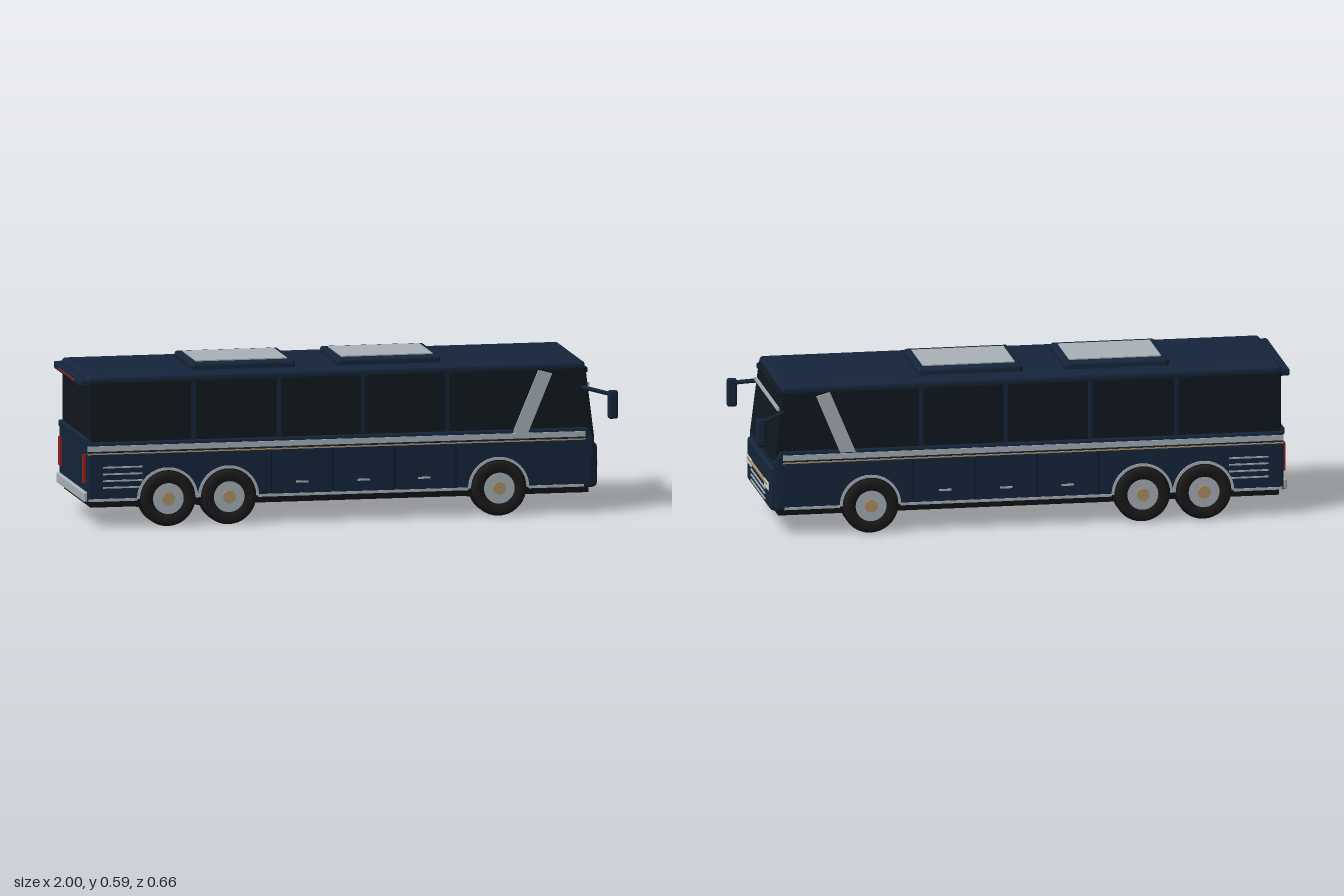
import * as THREE from 'three';
import { RoundedBoxGeometry } from 'three/addons/geometries/RoundedBoxGeometry.js';

const paint = (color) => new THREE.MeshStandardMaterial({ color });
const navy = paint(0x15253b), seam = paint(0x0c1522), glass = paint(0x10181f), black = paint(0x111214);
const rubber = paint(0x1a1a1a), silver = paint(0xa9b2b9), gold = paint(0xb09468);
const red = paint(0x8c2020), lamp = paint(0xd8d8d2);

export function createModel() {
  const bus = new THREE.Group();
  bus.name = 'coach';

  const add = (name, geometry, material) => {
    const mesh = new THREE.Mesh(geometry, material);
    mesh.name = name;
    bus.add(mesh);
    return mesh;
  };
  // Box given by its limits on each axis; r rounds the edges
  const box = (name, mat, x0, x1, y0, y1, z0, z1, r = 0) => {
    const s = [x1 - x0, y1 - y0, z1 - z0];
    const g = r ? new RoundedBoxGeometry(...s, 3, r) : new THREE.BoxGeometry(...s);
    const m = add(name, g, mat);
    m.position.set((x0 + x1) / 2, (y0 + y1) / 2, (z0 + z1) / 2);
    return m;
  };
  // Side profile extruded across the width, with bevelled edges
  const slab = (name, mat, points, halfWidth, bevel) => {
    const shape = new THREE.Shape(points.map(([x, y]) => new THREE.Vector2(x, y)));
    const g = new THREE.ExtrudeGeometry(shape, {
      depth: 2 * (halfWidth - bevel), bevelEnabled: bevel > 0, bevelSize: bevel,
      bevelOffset: -bevel, bevelThickness: bevel, bevelSegments: 3,
    });
    g.translate(0, 0, bevel - halfWidth);
    return add(name, g, mat);
  };

  // Hull
  box('chassis', black, -0.96, 0.905, 0.07, 0.12, -0.24, 0.24);
  slab('lowerBody', navy, [[-0.976, 0.09], [0.92, 0.09], [0.926, 0.275], [0.9, 0.315], [-0.976, 0.315]], 0.257, 0.012);
  slab('windowBand', glass, [[-0.966, 0.29], [0.926, 0.275], [0.893, 0.538], [-0.966, 0.538]], 0.25, 0.008);
  box('roof', navy, -0.97, 0.893, 0.522, 0.557, -0.246, 0.246, 0.015);
  box('frontFascia', navy, 0.89, 0.937, 0.09, 0.255, -0.251, 0.251, 0.015);
  box('windscreenVisor', glass, 0.86, 0.905, 0.512, 0.534, -0.236, 0.236, 0.008);

  // Roof units
  for (const x of [-0.37, 0.175]) {
    box('roofUnit', navy, x - 0.195, x + 0.195, 0.54, 0.582, -0.162, 0.162, 0.012);
    box('roofUnitPanel', silver, x - 0.171, x + 0.171, 0.575, 0.586, -0.121, 0.121);
  }

  // Nose
  const strip = box('windscreenStrip', silver, 0.9, 0.909, 0.465, 0.477, -0.243, 0.243);
  strip.rotation.z = 0.12;
  for (const y of [0.113, 0.133, 0.153]) box('grilleBar', silver, 0.93, 0.941, y - 0.003, y + 0.003, -0.149, 0.149);
  box('noseStrip', gold, 0.93, 0.944, 0.179, 0.187, -0.208, 0.208);

  // Tail
  box('rearBumper', silver, -0.988, -0.965, 0.092, 0.13, -0.25, 0.25, 0.006);
  box('rearLedge', navy, -0.98, -0.95, 0.3, 0.325, -0.25, 0.25, 0.006);
  box('rearSpoiler', navy, -1, -0.95, 0.517, 0.545, -0.24, 0.24, 0.008);
  box('brakeLightStrip', red, -1.002, -0.99, 0.527, 0.535, -0.15, 0.15);

  const wheelX = [-0.675, -0.447, 0.565];
  const tyreProfile = [[0.05, -0.04], [0.088, -0.04], [0.097, -0.033], [0.1, -0.022], [0.1, 0.022],
    [0.097, 0.033], [0.088, 0.04], [0.06, 0.037], [0.054, 0.025]].map(([r, y]) => new THREE.Vector2(r, y));
  const archShape = new THREE.Shape();
  archShape.absarc(0, 0, 0.114, 0, Math.PI, false);
  archShape.absarc(0, 0, 0.104, Math.PI, 0, true);
  const archGeometry = new THREE.ExtrudeGeometry(archShape, { depth: 0.012, bevelEnabled: false, curveSegments: 32 });

  // Parts present on both flanks
  for (const s of [1, -1]) {
    const side = (name, mat, x0, x1, y0, y1, zIn, zOut, r = 0) =>
      box(name, mat, x0, x1, y0, y1, Math.min(s * zIn, s * zOut), Math.max(s * zIn, s * zOut), r);
    const disc = (name, mat, r, x, zIn, zOut) => {
      const m = add(name, new THREE.CylinderGeometry(r, r, zOut - zIn, 36), mat);
      m.rotation.x = Math.PI / 2;
      m.position.set(x, 0.1, s * (zIn + zOut) / 2);
    };

    for (const x of wheelX) {
      disc('wheelWell', black, 0.104, x, 0.2, 0.259);
      const arch = add('wheelArchTrim', archGeometry, silver);
      arch.position.set(x, 0.1, s > 0 ? 0.251 : -0.263);
      const tyre = add('tyre', new THREE.LatheGeometry(tyreProfile, 40), rubber);
      tyre.rotation.x = s * Math.PI / 2;
      tyre.position.set(x, 0.1, s * 0.24);
      disc('wheelInnerFace', rubber, 0.09, x, 0.2, 0.21);
      disc('rim', silver, 0.058, x, 0.22, 0.272);
      disc('hub', gold, 0.024, x, 0.26, 0.279);
    }

    // Belt line and sill trim, broken at the wheels
    side('beltStripe', silver, -0.973, 0.89, 0.28, 0.3, 0.25, 0.261);
    side('beltPinstripe', gold, -0.973, 0.89, 0.268, 0.273, 0.25, 0.26);
    for (const [a, b] of [[-0.97, -0.788], [-0.335, 0.452], [0.678, 0.885]])
      side('sillTrim', silver, a, b, 0.094, 0.104, 0.25, 0.26);

    // Window pillars and the slanted accent
    for (const x of [-0.575, -0.255, 0.06, 0.375]) side('windowPillar', navy, x - 0.008, x + 0.008, 0.31, 0.53, 0.24, 0.253);
    const slash = new THREE.Shape([[0.618, 0.3], [0.676, 0.3], [0.766, 0.517], [0.715, 0.531]].map((p) => new THREE.Vector2(...p)));
    const accent = add('slantedAccent', new THREE.ExtrudeGeometry(slash, { depth: 0.012, bevelEnabled: false }), silver);
    accent.position.z = s > 0 ? 0.245 : -0.257;

    // Luggage doors and engine louvres
    for (const x of [-0.285, -0.055, 0.175, 0.405]) side('luggageDoorSeam', seam, x - 0.002, x + 0.002, 0.108, 0.265, 0.25, 0.258);
    for (const x of [-0.17, 0.06, 0.287]) side('doorHandle', silver, x - 0.023, x + 0.023, 0.142, 0.149, 0.25, 0.261);
    for (const y of [0.145, 0.17, 0.195, 0.22]) side('engineLouvre', silver, -0.917, -0.77, y - 0.003, y + 0.003, 0.25, 0.26);

    // Lights
    side('headlight', lamp, 0.925, 0.941, 0.163, 0.19, 0.137, 0.228);
    side('tailLight', red, -0.984, -0.97, 0.16, 0.265, 0.2, 0.235);

    // Mirror on its arm
    const path = new THREE.CatmullRomCurve3([[0.88, 0.462, 0.24], [0.9, 0.458, 0.262], [0.975, 0.442, 0.31]]
      .map(([x, y, z]) => new THREE.Vector3(x, y, s * z)));
    add('mirrorArm', new THREE.TubeGeometry(path, 12, 0.008, 10), navy);
    side('mirror', navy, 0.963, 1, 0.352, 0.457, 0.3, 0.33, 0.009);
  }
  return bus;
}
